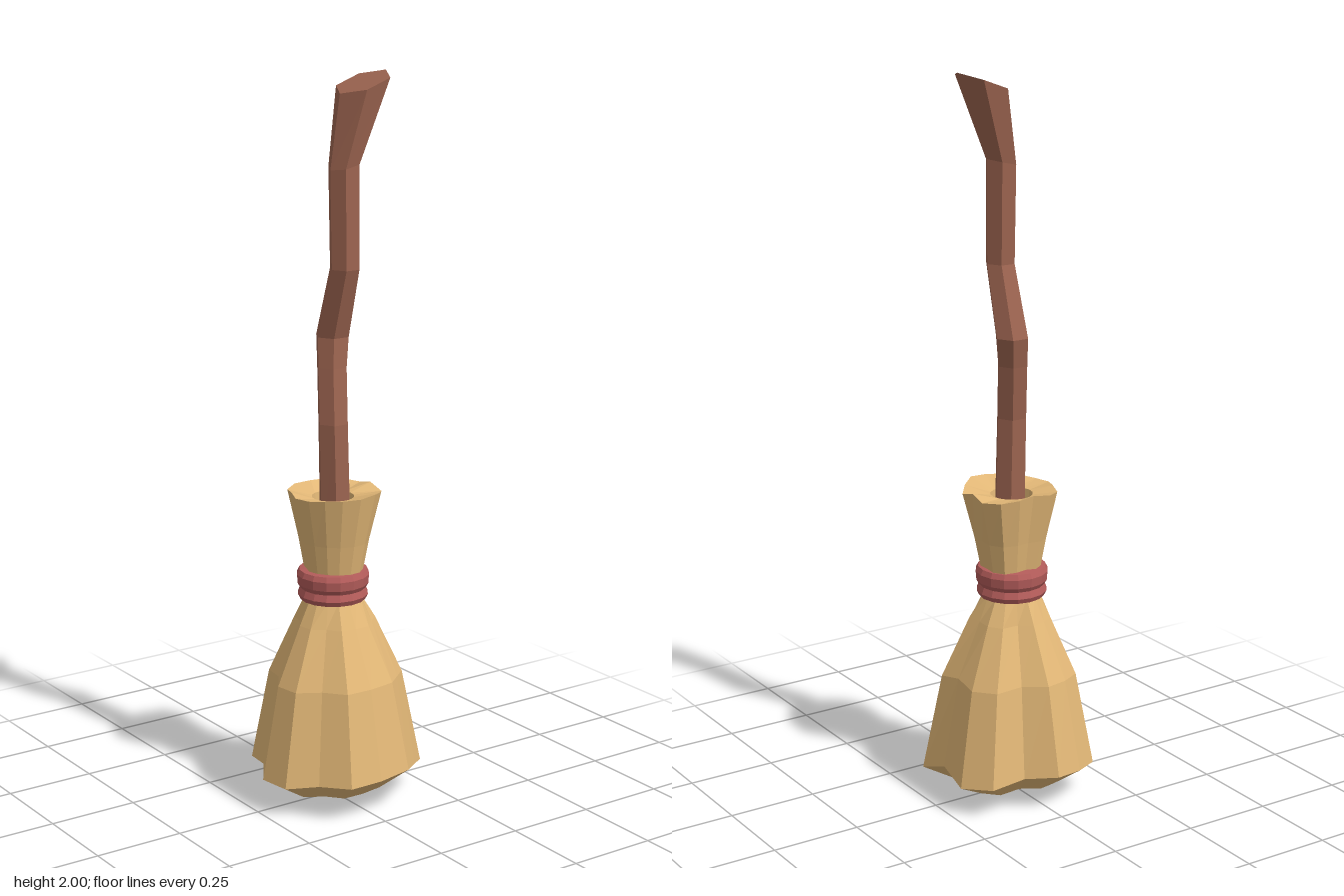
import * as THREE from 'three';

// Skin a list of rings (bottom to top, clockwise seen from above) with flat facets
function loft(rings, color, name) {
  const pos = [];
  const n = rings[0].length;
  for (let i = 0; i < rings.length - 1; i++) {
    for (let k = 0; k < n; k++) {
      const a = rings[i][k], b = rings[i][(k + 1) % n];
      const c = rings[i + 1][k], d = rings[i + 1][(k + 1) % n];
      for (const tri of [[a, c, b], [b, c, d]]) {
        const [p, q, r] = tri;
        if (p.distanceTo(q) < 1e-6 || q.distanceTo(r) < 1e-6 || r.distanceTo(p) < 1e-6) continue;
        for (const v of tri) pos.push(v.x, v.y, v.z);
      }
    }
  }
  const geo = new THREE.BufferGeometry();
  geo.setAttribute('position', new THREE.Float32BufferAttribute(pos, 3));
  geo.computeVertexNormals();
  const mesh = new THREE.Mesh(geo, new THREE.MeshStandardMaterial({ color, flatShading: true }));
  mesh.name = name;
  return mesh;
}

// Uneven straw outlines: radius every 22.5 degrees, starting at the back
const HEM = [.235, .188, .244, .245, .222, .251, .23, .246, .232, .242, .209, .237, .232, .197, .231, .227];
const COLLAR = [.107, .122, .14, .139, .125, .135, .13, .135, .132, .125, .12, .119, .122, .114, .126, .125];
const HEM_LIFT = [.02, .01, 0, -.01, .02, -.015, .01, .03, .02, .015, .01, 0, 0, .01, 0, .01];

function strawRing(y, scale, outline, lift = 0) {
  return outline.map((r, k) => {
    const a = k * Math.PI / 8;
    return new THREE.Vector3(Math.sin(a) * r * scale, y + HEM_LIFT[k] * lift, -Math.cos(a) * r * scale);
  });
}

function createStraw() {
  const round = HEM.map(() => 1);
  return loft([
    strawRing(0, 0, round),            // underside point
    strawRing(.035, .62, HEM, .4),
    strawRing(.09, 1, HEM, 1),         // hem
    strawRing(.35, .78, HEM, .4),
    strawRing(.51, .47, HEM),
    strawRing(.58, .075, round),       // neck under the binding
    strawRing(.65, .63, COLLAR),
    strawRing(.74, .76, COLLAR),
    strawRing(.872, 1, COLLAR, .4),    // flared collar
    strawRing(.86, .058, round),       // hole around the handle
    strawRing(.79, .05, round),
    strawRing(.79, 0, round),
  ], 0xe3b877, 'straw');
}

function createHandle() {
  // y, centre x, centre z, half width x, half width z, slant of the ring
  const stations = [
    [.72, -.005, .02, .045, .04, 0],
    [1.07, -.012, .018, .043, .038, 0],
    [1.22, -.002, -.002, .043, .038, 0],
    [1.3, .008, -.014, .047, .042, 0],
    [1.49, .005, .047, .041, .038, 0],
    [1.76, .007, .04, .043, .04, .01],
    [1.973, .067, .04, .073, .07, .027],
  ];
  const ring = ([y, cx, cz, rx, rz, slant]) => Array.from({ length: 6 }, (_, k) => {
    const a = Math.PI / 6 + k * Math.PI / 3;
    const s = Math.sin(a);
    return new THREE.Vector3(cx + s * rx, y + s * slant, cz - Math.cos(a) * rz / Math.cos(Math.PI / 6));
  });
  const rings = stations.map(ring);
  const tip = new THREE.Vector3(.067, 1.973, .04);
  rings.push(rings[0].map(() => tip)); // slanted end cap
  return loft(rings, 0x9c6450, 'handle');
}

// Binding with a broad upper wrap and a narrower lower wrap
function createBinding() {
  const profile = [[.07, .57], [.09, .573], [.097, .587], [.09, .605],
    [.098, .618], [.1, .643], [.093, .657], [.07, .66]];
  const geo = new THREE.LatheGeometry(profile.map(p => new THREE.Vector2(...p)), 16);
  const mesh = new THREE.Mesh(geo, new THREE.MeshStandardMaterial({ color: 0xb35c5a, flatShading: true }));
  mesh.name = 'binding';
  return mesh;
}

export function createModel() {
  const group = new THREE.Group();
  group.name = 'broom';
  group.add(createStraw(), createHandle(), createBinding());
  return group;
}
